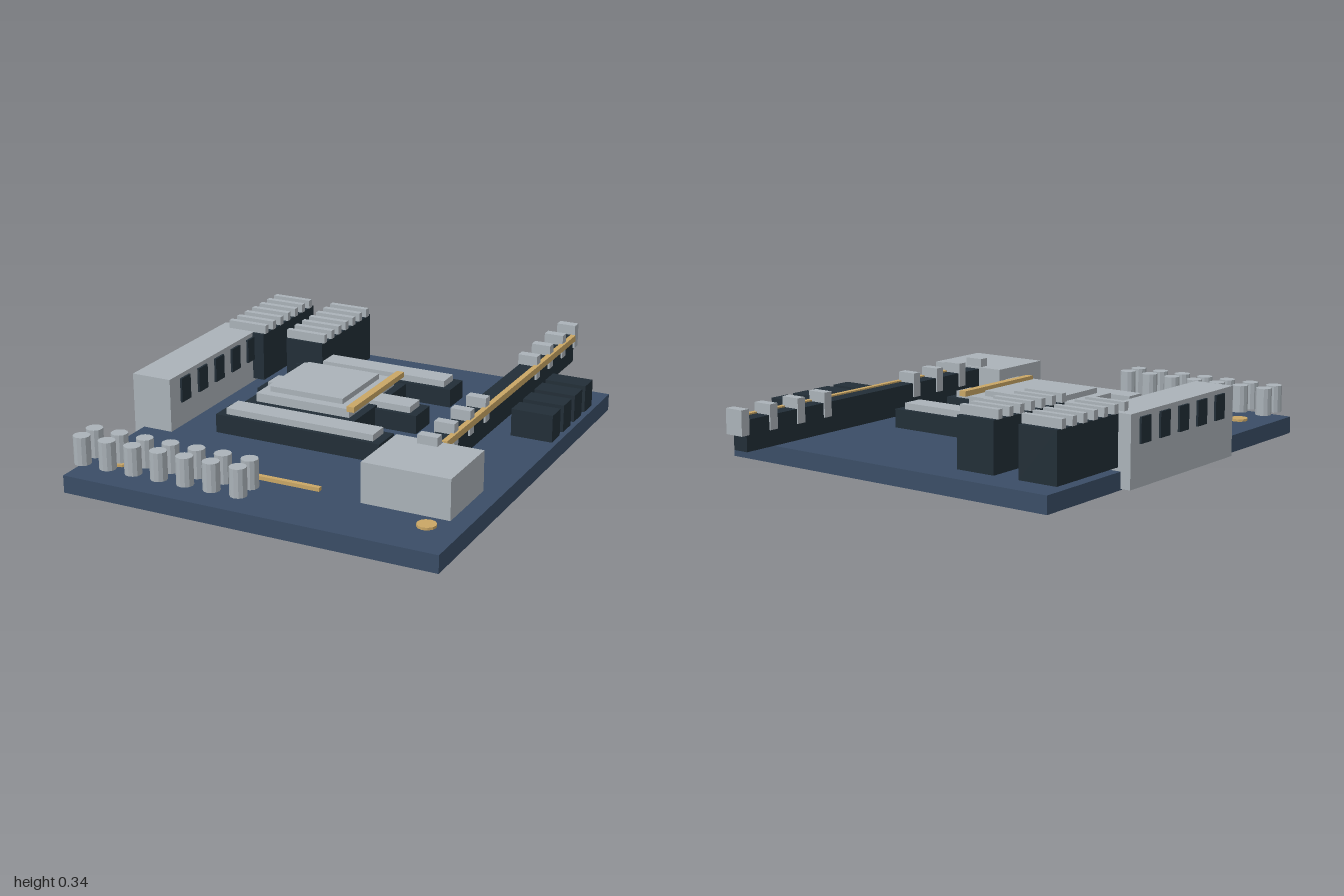
import * as THREE from 'three';

const mat = (name, color) => {
  const m = new THREE.MeshStandardMaterial({ color });
  m.name = name;
  return m;
};

export function createModel() {
  const model = new THREE.Group();
  model.name = 'circuitBoard';
  const blue = mat('board blue', 0x3a4d66);
  const dark = mat('dark plastic', 0x222e37);
  const metal = mat('light metal', 0xaab2b8);
  const gold = mat('gold contact', 0xc9a665);

  const group = (name) => {
    const g = new THREE.Group();
    g.name = name;
    model.add(g);
    return g;
  };
  // Box given by its limits on each axis
  const box = (parent, name, m, [x0, x1], [y0, y1], [z0, z1]) => {
    const mesh = new THREE.Mesh(new THREE.BoxGeometry(x1 - x0, y1 - y0, z1 - z0), m);
    mesh.position.set((x0 + x1) / 2, (y0 + y1) / 2, (z0 + z1) / 2);
    mesh.name = name;
    parent.add(mesh);
  };
  // Upright cylinder with crisp facets
  const post = (parent, name, m, r, x, [y0, y1], z) => {
    const geo = new THREE.CylinderGeometry(r, r, y1 - y0, 12).toNonIndexed();
    geo.computeVertexNormals();
    const mesh = new THREE.Mesh(geo, m);
    mesh.position.set(x, (y0 + y1) / 2, z);
    mesh.name = name;
    parent.add(mesh);
  };

  // Board and the strips beneath it
  box(model, 'board', blue, [-0.745, 0.79], [0.02, 0.09], [-0.73, 1]);
  const strips = group('undersideStrips');
  for (const [half, z] of [[0.55, 0.14], [0.38, 0.46], [0.27, 0.71]])
    box(strips, 'undersideStrip', dark, [-0.02 - half, -0.02 + half], [0, 0.02], [z - 0.04, z + 0.04]);

  // Gold traces and mounting pads
  box(model, 'longTrace', gold, [-0.47, 0.425], [0.09, 0.105], [0.125, 0.145]);
  box(model, 'shortTrace', gold, [-0.23, 0.18], [0.09, 0.105], [0.69, 0.71]);
  const pads = group('mountingPads');
  for (const x of [-0.61, 0.655])
    for (const z of [-0.54, 0.805]) post(pads, 'mountingPad', gold, 0.037, x, [0.09, 0.1], z);

  // Port housing with openings showing on both faces
  const ports = group('portHousing');
  box(ports, 'housing', metal, [-0.787, -0.617], [0.025, 0.308], [-0.275, 0.447]);
  for (let i = 0; i < 5; i++) {
    const z = -0.185 + i * 0.131;
    for (const x of [-0.796, -0.617])
      box(ports, 'portOpening', dark, [x, x + 0.009], [0.19, 0.29], [z - 0.033, z + 0.033]);
  }

  // Finned heat sinks
  for (const x of [-0.648, -0.369]) {
    const sink = group('heatSink');
    box(sink, 'sinkBlock', dark, [x - 0.084, x + 0.084], [0.104, 0.306], [-0.655, -0.205]);
    for (let i = 0; i < 7; i++) {
      const z = -0.23 - i * 0.065;
      box(sink, 'fin', metal, [x - 0.088, x + 0.088], [0.306, 0.342], [z - 0.0125, z + 0.0125]);
    }
  }

  // Three long connectors, the middle one running under the processor
  const slots = group('slots');
  for (const z of [-0.258, 0.066, 0.392]) {
    box(slots, 'slotBase', dark, [-0.405, 0.3], [0.13, 0.205], [z - 0.063, z + 0.063]);
    box(slots, 'slotCap', metal, [-0.367, 0.265], [0.205, 0.231], [z - 0.045, z + 0.045]);
  }

  // Processor: socket, stepped lid and lever
  const cpu = group('processor');
  box(cpu, 'socket', dark, [-0.36, 0.122], [0.115, 0.215], [-0.157, 0.323]);
  box(cpu, 'lid', metal, [-0.32, 0.088], [0.215, 0.25], [-0.117, 0.285]);
  box(cpu, 'lidTop', metal, [-0.278, 0.04], [0.25, 0.272], [-0.075, 0.245]);
  box(cpu, 'lever', gold, [0.09, 0.121], [0.25, 0.272], [-0.137, 0.31]);

  // Long rail with gold contact and clips
  const rail = group('rail');
  box(rail, 'railBody', dark, [0.472, 0.54], [0.12, 0.243], [-0.97, 0.47]);
  box(rail, 'railContact', gold, [0.535, 0.557], [0.222, 0.249], [-0.945, 0.413]);
  for (const start of [-0.98, 0.01])
    for (let i = 0; i < 4; i++) {
      const z = start + i * 0.15;
      box(rail, 'clip', metal, [0.466, 0.548], [0.185, 0.285], [z - 0.02, z + 0.02]);
    }

  // Corner connector and side sockets
  box(model, 'cornerConnector', metal, [0.36, 0.713], [0.09, 0.25], [0.432, 0.73]);
  const side = group('sideSockets');
  for (let i = 0; i < 4; i++) {
    const z = -0.475 + i * 0.122;
    box(side, 'sideSocket', dark, [0.617, 0.788], [0.112, 0.223], [z - 0.043, z + 0.043]);
  }

  // Two rows of capacitors
  const caps = group('capacitors');
  for (let i = 0; i < 7; i++)
    for (const z of [0.84, 0.925])
      post(caps, 'capacitor', metal, 0.033, -0.705 + i * 0.112, [0.12, 0.232], z);

  return model;
}
